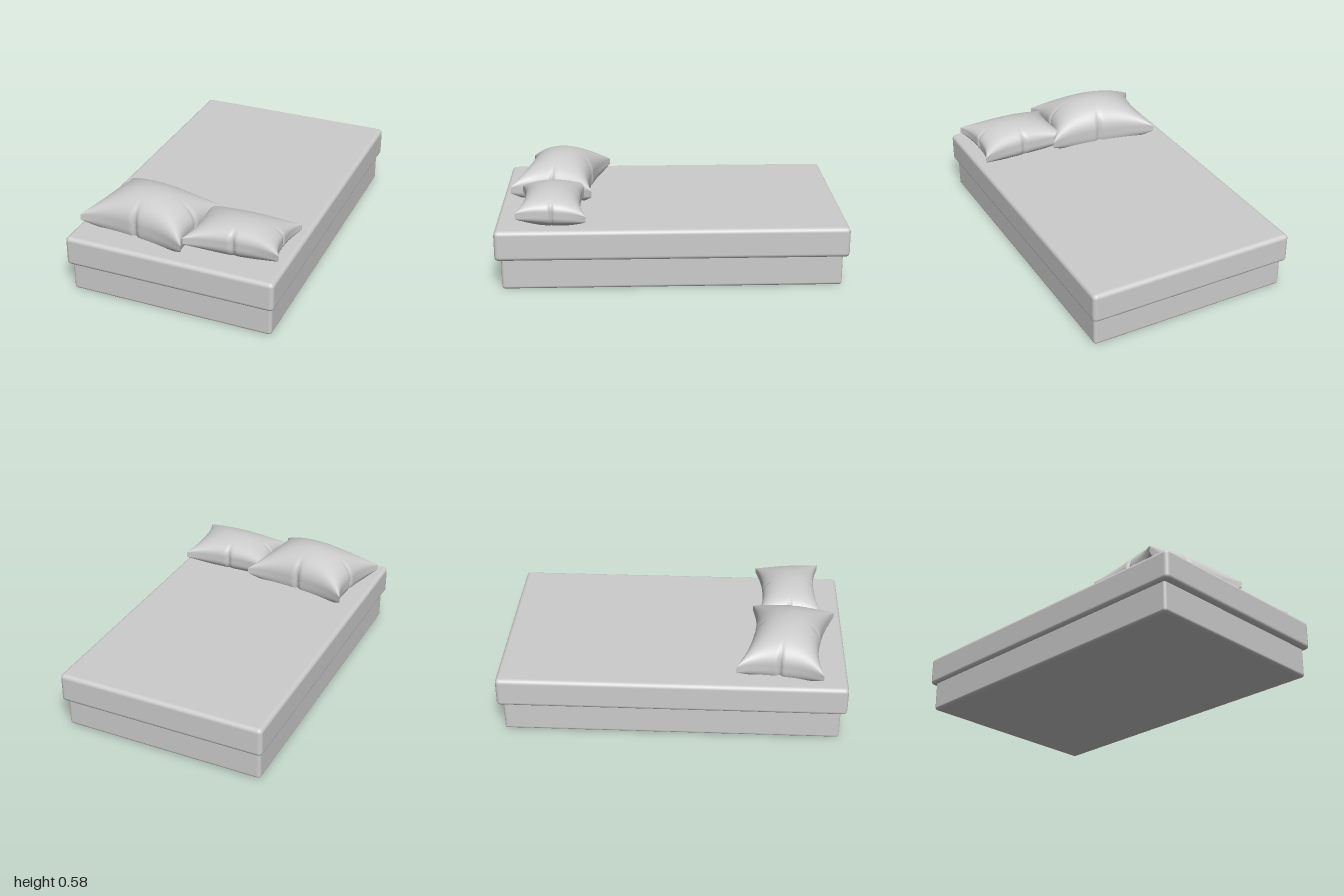
import * as THREE from 'three';
import { RoundedBoxGeometry } from 'three/addons/geometries/RoundedBoxGeometry.js';

const lightGrey = new THREE.MeshStandardMaterial({ color: 0xcccccc });
lightGrey.name = 'light grey';

function roundedSlab(name, w, h, d, r, y) {
  const mesh = new THREE.Mesh(new RoundedBoxGeometry(w, h, d, 4, r), lightGrey);
  mesh.name = name;
  mesh.position.y = y + h / 2;
  return mesh;
}

// corners: [x, y, z] for back left-of-page, back right, front right, front left
function pillow(name, corners, height, pull, dart) {
  const seam = 0.016, n = 88;
  const geo = new THREE.BoxGeometry(2, 2, 2, n, 1, n);
  const pos = geo.attributes.position;
  const [a, b, c, d] = corners.map((p) => new THREE.Vector3(...p));
  const top = new THREE.Vector3(), bottom = new THREE.Vector3();
  const ease = (t) => Math.sin(t * Math.PI / 2);
  // inward pull along an edge, with a narrow stitched dart at its middle
  const inset = (t, across) => pull * (1 - Math.abs(t) ** 2.6) * across
    + dart * Math.exp(-((t / 0.045) ** 2)) * across ** 5;

  for (let i = 0; i < pos.count; i++) {
    const u = ease(pos.getX(i)), v = ease(pos.getZ(i)), side = Math.sign(pos.getY(i));
    top.lerpVectors(a, b, (u + 1) / 2);
    bottom.lerpVectors(d, c, (u + 1) / 2);
    top.lerp(bottom, (v + 1) / 2);
    const dome = Math.max(0, (1 - u * u) * (1 - v * v)) ** 0.46;
    pos.setXYZ(i,
      top.x - Math.sign(u) * inset(v, Math.abs(u)),
      top.y + side * (seam + (height - seam) * dome),
      top.z - Math.sign(v) * inset(u, Math.abs(v)));
  }
  geo.computeVertexNormals();
  const mesh = new THREE.Mesh(geo, lightGrey);
  mesh.name = name;
  return mesh;
}

export function createModel() {
  const bed = new THREE.Group();
  bed.name = 'bed';
  bed.add(
    roundedSlab('bedBase', 1.2, 0.19, 1.93, 0.018, 0),
    roundedSlab('mattress', 1.24, 0.176, 2, 0.025, 0.174),
    pillow('largePillow', [
      [-0.525, 0.405, 0.365], [0.14, 0.405, 0.465], [0.07, 0.412, 0.95], [-0.595, 0.41, 0.855],
    ], 0.17, 0.055, 0.018),
    pillow('smallPillow', [
      [0.03, 0.415, 0.49], [0.59, 0.41, 0.485], [0.6, 0.437, 0.875], [0.04, 0.415, 0.88],
    ], 0.111, 0.038, 0.014),
  );
  return bed;
}
